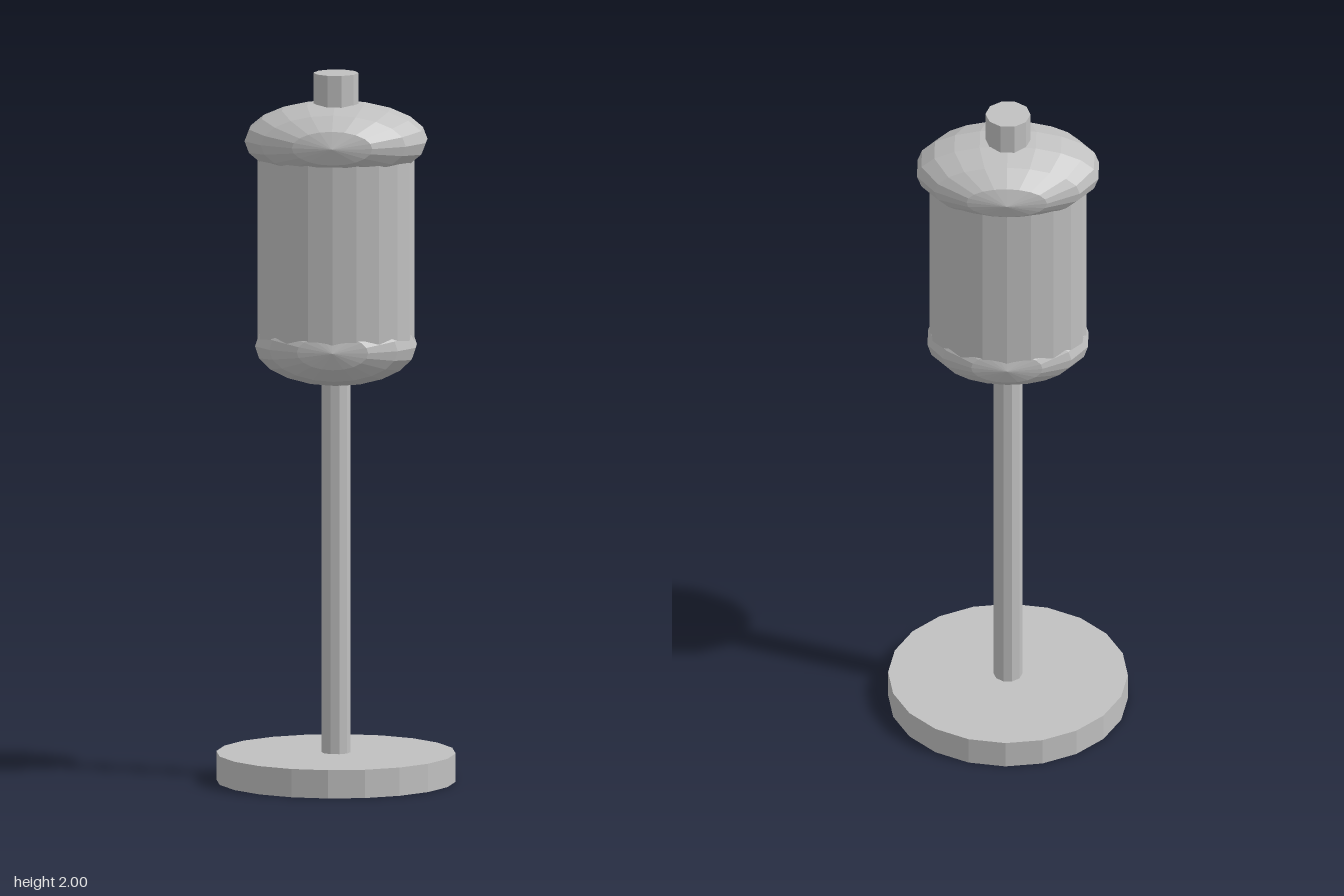
import * as THREE from 'three';

export function createModel() {
  const model = new THREE.Group();
  model.name = 'postLantern';
  const grey = new THREE.MeshStandardMaterial({ color: 0xc0c0c0, flatShading: true });
  grey.name = 'grey';

  const add = (name, geometry) => {
    const mesh = new THREE.Mesh(geometry, grey);
    mesh.name = name;
    model.add(mesh);
  };

  // Upright prism between two heights, optionally squashed in z
  const prism = (name, radius, bottom, top, sides, depth = 1) => {
    const g = new THREE.CylinderGeometry(radius, radius, top - bottom, sides, 1, false, Math.PI / 2);
    g.scale(1, 1, depth).translate(0, (top + bottom) / 2, 0);
    add(name, g);
  };

  // Ellipsoid whose poles point front and back, with seven bands between them
  const ellipsoid = (name, rx, ry, rz, y) => {
    const g = new THREE.SphereGeometry(1, 20, 7);
    g.rotateX(Math.PI / 2).scale(rx, ry, rz).translate(0, y, 0);
    add(name, g);
  };

  // Stand
  prism('base', 0.335, 0, 0.08, 20);
  prism('pole', 0.04, 0.08, 1.2, 10);

  // Oval body with rounded ends
  prism('body', 0.22, 1.22, 1.8, 20, 0.695);
  ellipsoid('lowerEnd', 0.23, 0.113, 0.16, 1.23);
  ellipsoid('upperCap', 0.26, 0.11, 0.18, 1.81);

  // Top knob
  prism('knob', 0.063, 1.85, 2, 10);

  return model;
}
